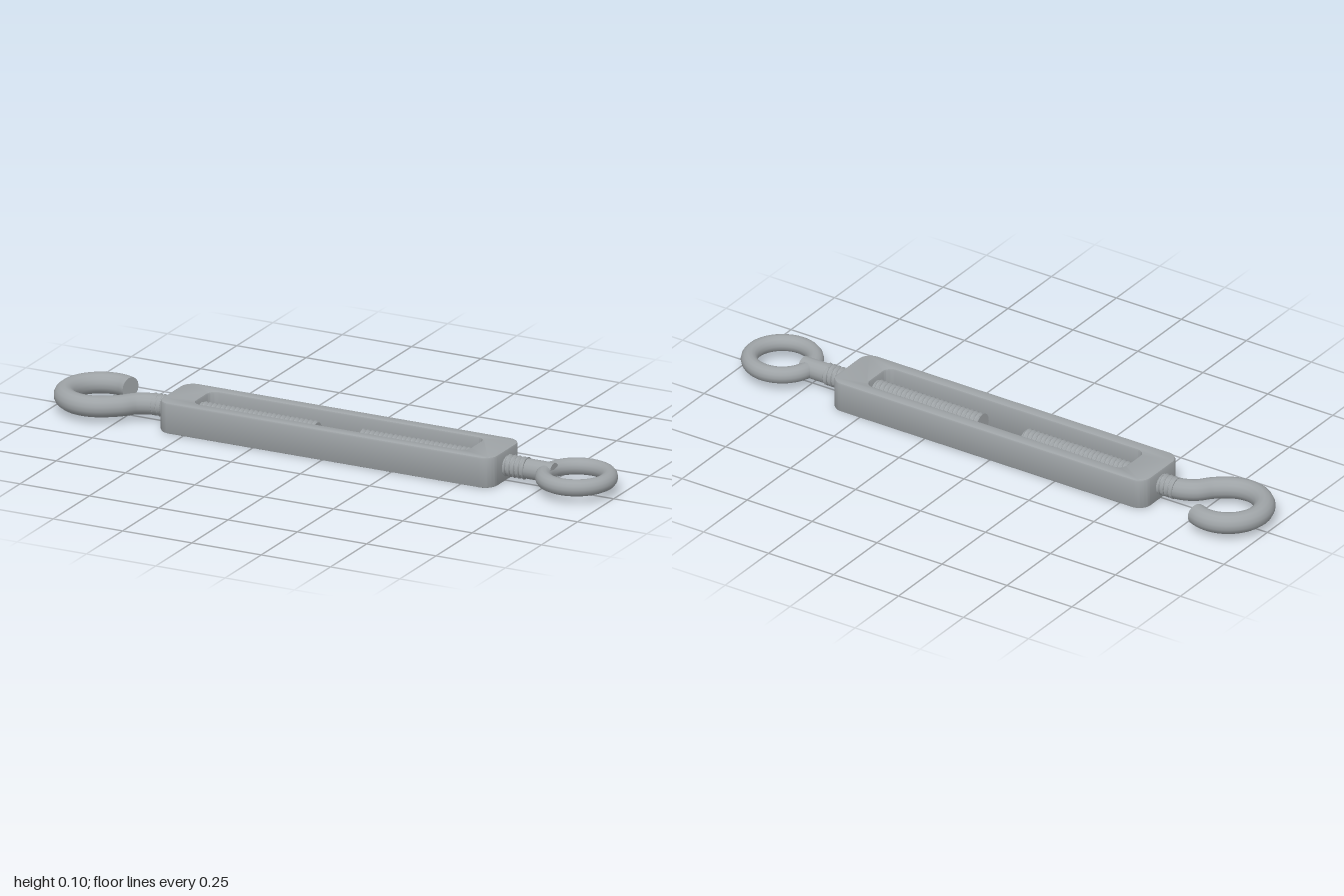
import * as THREE from 'three';
import { toCreasedNormals } from 'three/addons/utils/BufferGeometryUtils.js';

const AXIS_Y = 0.0525;

// Rounded rectangle outline, usable as a shape or a hole
function roundedRect(path, x0, x1, h, r) {
  path.moveTo(x0 + r, -h);
  path.lineTo(x1 - r, -h);
  path.absarc(x1 - r, -h + r, r, -Math.PI / 2, 0);
  path.lineTo(x1, h - r);
  path.absarc(x1 - r, h - r, r, 0, Math.PI / 2);
  path.lineTo(x0 + r, h);
  path.absarc(x0 + r, h - r, r, Math.PI / 2, Math.PI);
  path.lineTo(x0, -h + r);
  path.absarc(x0 + r, -h + r, r, Math.PI, Math.PI * 1.5);
  return path;
}

// Helical screw thread along x, closed at both ends
function threadGeometry(x0, x1, crest, root, pitch) {
  const sides = 16, perTurn = 4;
  const rings = Math.round(((x1 - x0) / pitch) * perTurn);
  const pos = [], idx = [];
  for (let i = 0; i <= rings; i++) {
    const x = x0 + ((x1 - x0) * i) / rings;
    for (let j = 0; j < sides; j++) {
      const a = (j / sides) * Math.PI * 2;
      const phase = i / perTurn - j / sides;
      const wave = Math.abs(2 * (phase - Math.floor(phase)) - 1);
      const r = root + (crest - root) * wave;
      pos.push(x, r * Math.cos(a), r * Math.sin(a));
    }
  }
  for (let i = 0; i < rings; i++) {
    for (let j = 0; j < sides; j++) {
      const k = (j + 1) % sides;
      const a = i * sides + j, b = i * sides + k, c = a + sides, d = b + sides;
      idx.push(a, b, c, b, d, c);
    }
  }
  const last = rings * sides;
  const c0 = pos.length / 3;
  pos.push(x0, 0, 0, x1, 0, 0);
  for (let j = 0; j < sides; j++) {
    const k = (j + 1) % sides;
    idx.push(c0, k, j, c0 + 1, last + j, last + k);
  }
  const g = new THREE.BufferGeometry();
  g.setAttribute('position', new THREE.Float32BufferAttribute(pos, 3));
  g.setIndex(idx);
  return toCreasedNormals(g, 0.5);
}

export function createModel() {
  const model = new THREE.Group();
  model.name = 'turnbuckle';
  const steel = new THREE.MeshStandardMaterial({ color: 0x9ea3a6 });
  steel.name = 'galvanised steel';

  const add = (name, geometry, x = 0, y = AXIS_Y, z = 0) => {
    const mesh = new THREE.Mesh(geometry, steel);
    mesh.name = name;
    mesh.position.set(x, y, z);
    model.add(mesh);
    return mesh;
  };

  // Frame: rounded bar with a long window
  const bevel = 0.007;
  const outline = roundedRect(new THREE.Shape(), -0.595, 0.615, 0.108, 0.045);
  outline.holes.push(roundedRect(new THREE.Path(), -0.485, 0.503, 0.066, 0.03));
  const frame = new THREE.ExtrudeGeometry(outline, {
    depth: 0.105 - 2 * bevel, bevelThickness: bevel, bevelSize: bevel,
    bevelOffset: -bevel, bevelSegments: 2, curveSegments: 8,
  });
  frame.translate(0, 0, bevel);
  frame.rotateX(-Math.PI / 2);
  add('frame', toCreasedNormals(frame, 0.6), 0, 0, 0);

  // Screw rods
  add('hookThread', threadGeometry(-0.655, -0.07, 0.038, 0.031, 0.0165));
  add('eyeThread', threadGeometry(0.095, 0.69, 0.038, 0.031, 0.0165));

  // Hook: open ring that swings back onto the rod axis
  const points = [];
  for (let deg = -62; deg >= -300; deg -= 17) {
    const a = THREE.MathUtils.degToRad(deg);
    points.push(new THREE.Vector3(-0.85 + 0.116 * Math.cos(a), 0, 0.116 * Math.sin(a)));
  }
  for (const [x, z] of [[-0.745, 0.066], [-0.71, 0.026], [-0.665, 0.004], [-0.62, 0]]) {
    points.push(new THREE.Vector3(x, 0, z));
  }
  const hookPath = new THREE.CatmullRomCurve3(points);
  add('hook', new THREE.TubeGeometry(hookPath, 64, 0.035, 14));
  const tip = hookPath.getPoint(0);
  const cap = add('hookTip', new THREE.CircleGeometry(0.035, 14), tip.x, AXIS_Y, tip.z);
  cap.lookAt(cap.position.clone().sub(hookPath.getTangent(0)));

  // Eye ring and its plain shank
  const ring = new THREE.TorusGeometry(0.106, 0.0275, 14, 48);
  ring.rotateX(Math.PI / 2);
  add('eyeRing', ring, 0.866);
  const shank = new THREE.CylinderGeometry(0.033, 0.033, 0.105, 16);
  shank.rotateZ(Math.PI / 2);
  add('eyeShank', shank, 0.7325);

  return model;
}
